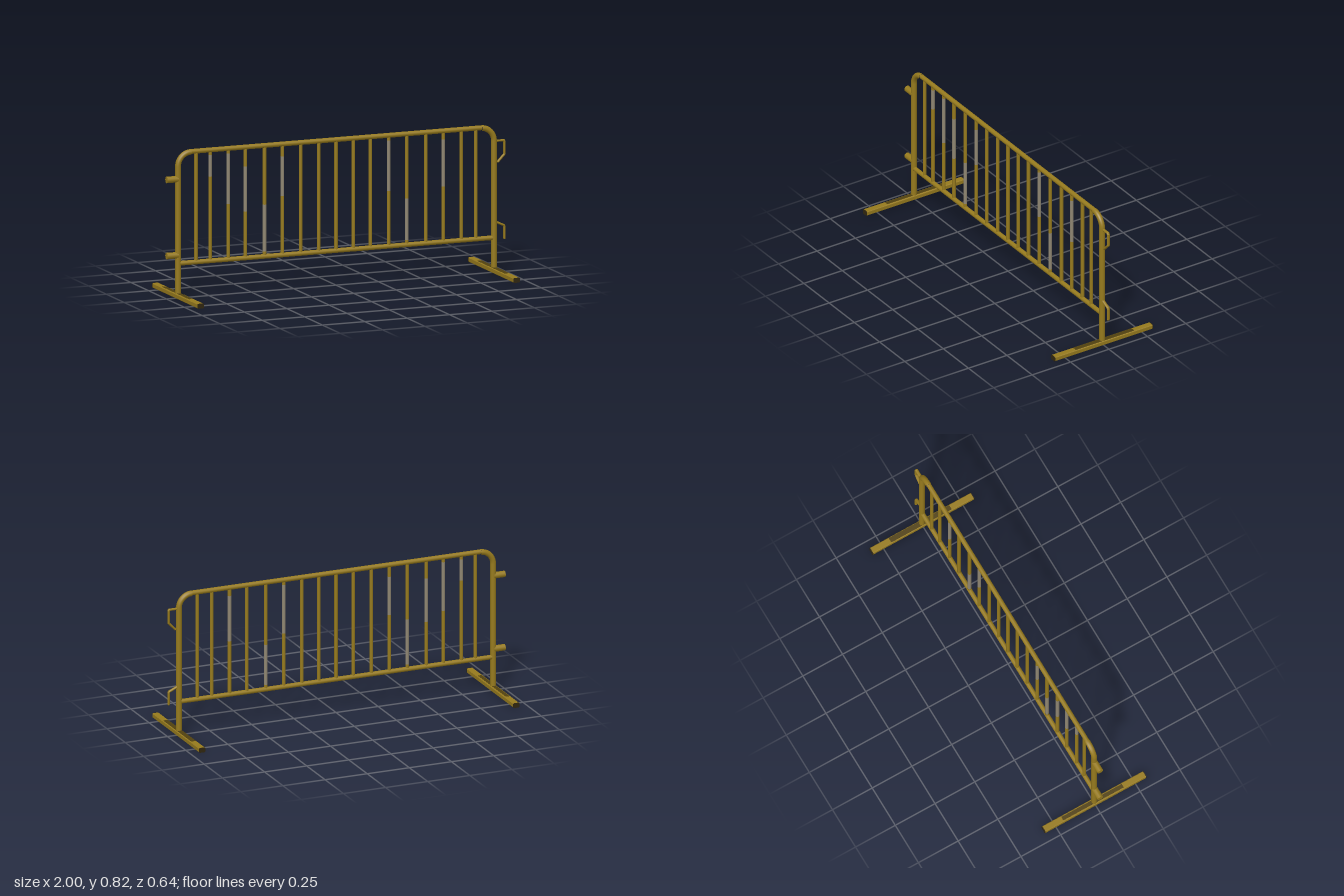
import * as THREE from 'three';

const mat = (name, color) => {
  const m = new THREE.MeshStandardMaterial({ color });
  m.name = name;
  return m;
};

export function createModel() {
  const gold = mat('old gold paint', 0x967a1d);
  const dark = mat('dark worn paint', 0x51410f);
  const black = mat('dark foot ends', 0x30260f);
  const grey = mat('bare grey metal', 0x8f8672);
  const model = new THREE.Group();
  model.name = 'crowdBarrier';

  const add = (name, geometry, material, x = 0, y = 0, z = 0) => {
    const mesh = new THREE.Mesh(geometry, material);
    mesh.name = name;
    mesh.position.set(x, y, z);
    model.add(mesh);
    return mesh;
  };
  // upright rod between two heights
  const rod = (name, x, y0, y1, r, material = gold) =>
    add(name, new THREE.CylinderGeometry(r, r, y1 - y0, 12), material, x, (y0 + y1) / 2);
  // level rod along x
  const rail = (name, x0, x1, y, r) => {
    const m = add(name, new THREE.CylinderGeometry(r, r, x1 - x0, 14), gold, (x0 + x1) / 2, y);
    m.rotation.z = Math.PI / 2;
  };

  // frame: posts, rounded corners, top and bottom rails
  const postX = 0.932, topY = 0.805, bend = 0.075, r = 0.016;
  for (const s of [-1, 1]) {
    rod('post', s * postX, 0.015, topY - bend, r);
    const corner = add('corner', new THREE.TorusGeometry(bend, r, 12, 14, Math.PI / 2), gold,
      s * (postX - bend), topY - bend);
    if (s < 0) corner.rotation.y = Math.PI;
  }
  rail('topRail', -postX + bend, postX - bend, topY + 0.002, 0.0135);
  rail('bottomRail', -postX, postX, 0.192, 0.013);

  // upright bars, some with a worn stretch [from, to]
  const bars = [-0.826, -0.743, -0.636, -0.535, -0.422, -0.316, -0.209, -0.102, 0,
    0.102, 0.203, 0.31, 0.417, 0.53, 0.632, 0.738, 0.824];
  const worn = { 1: [0.66, 0.78], 2: [0.5, 0.78], 3: [0.45, 0.7], 4: [0.22, 0.48], 5: [0.52, 0.74],
    11: [0.5, 0.78], 12: [0.22, 0.45], 14: [0.5, 0.76] };
  const barR = 0.0098;
  bars.forEach((x, i) => {
    const [a, b] = worn[i] || [0, 0];
    if (!b) return rod('bar', x, 0.19, 0.805, barR);
    rod('bar', x, 0.19, a, barR);
    rod('wornBar', x, a, b, barR, grey);
    rod('bar', x, b, 0.805, barR);
  });

  // feet: flattened bars with chamfered edges and dark ends
  const w = 0.0185, h = 0.0135, c = 0.004;
  const section = new THREE.Shape([[-w + c, -h], [w - c, -h], [w, -h + c], [w, h - c],
    [w - c, h], [-w + c, h], [-w, h - c], [-w, -h + c]].map(p => new THREE.Vector2(...p)));
  for (const s of [-1, 1]) {
    const bar = (name, z, depth, materials) => add(name,
      new THREE.ExtrudeGeometry(section, { depth, bevelEnabled: false }), materials, s * postX, h, z);
    bar('foot', -0.316, 0.632, gold);
    bar('footEnd', -0.32, 0.004, black);
    bar('footEnd', 0.316, 0.004, black);
    add('footWear', new THREE.BoxGeometry(s > 0 ? 0.028 : 0.022, 0.002, 0.38), dark,
      s * postX, 2 * h, -0.01);
  }

  // connector sleeves on the right end
  for (const y of [0.66, 0.238]) rail('sleeve', -1, -postX, y, 0.018);

  // hooks on the left end, wider in z than they are thick
  const hook = (name, points) => {
    const path = new THREE.CurvePath();
    const pts = points.map(p => new THREE.Vector3(p[0], p[1], 0));
    for (let i = 1; i < pts.length; i++) {
      path.add(new THREE.LineCurve3(pts[i - 1], pts[i]));
      add(name + 'Joint', new THREE.SphereGeometry(0.0065, 10, 8), gold,
        pts[i].x, pts[i].y).scale.z = 1.4;
    }
    add(name, new THREE.TubeGeometry(path, 60, 0.0065, 8), gold).scale.z = 1.4;
  };
  hook('upperHook', [[0.935, 0.728], [0.99, 0.728], [0.9935, 0.722], [0.9935, 0.652], [0.955, 0.612]]);
  hook('lowerHook', [[0.935, 0.282], [0.99, 0.257], [0.9935, 0.25], [0.9935, 0.185]]);

  return model;
}
